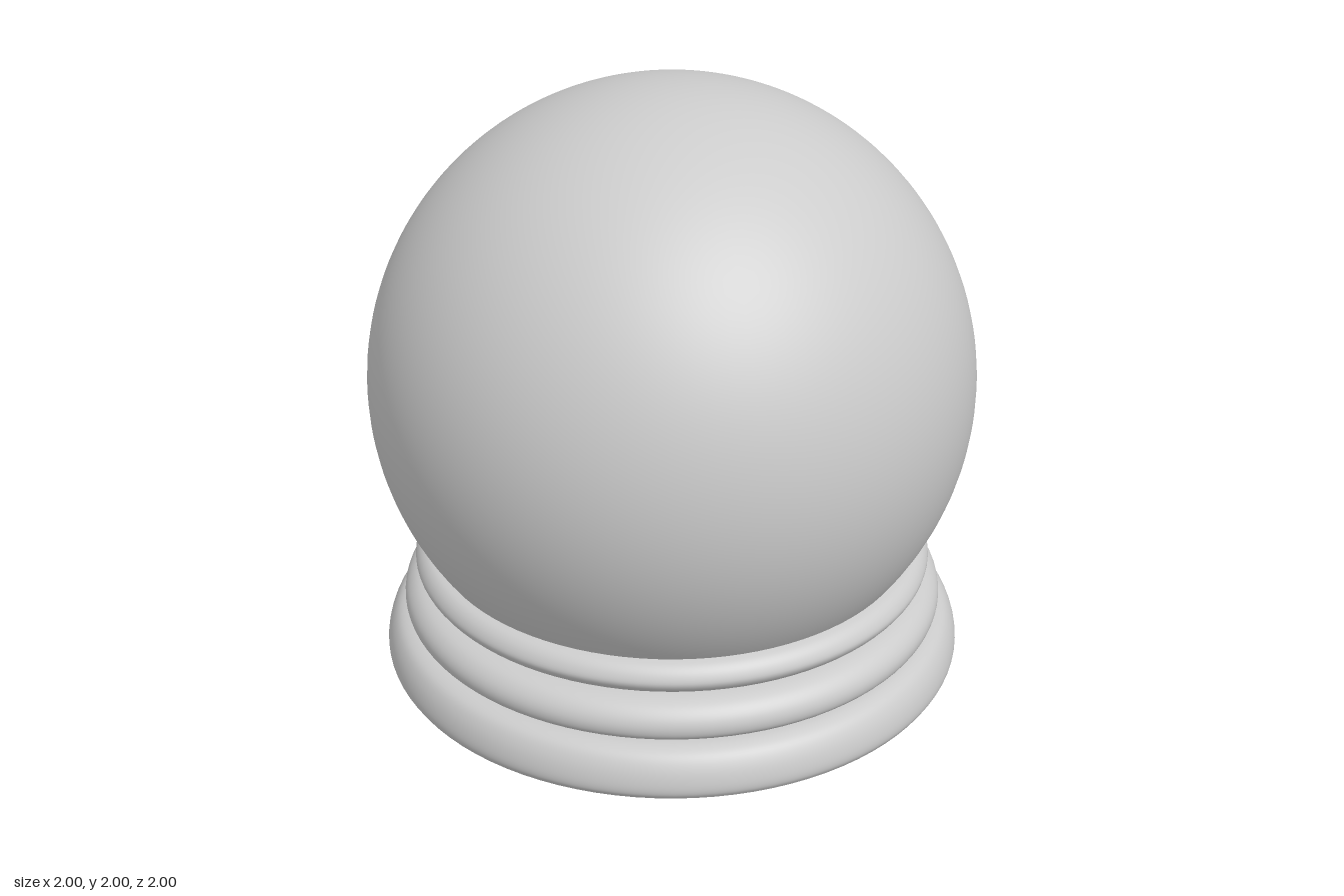
import * as THREE from 'three';

const SEGMENTS = 96;

// Smooth turned band through a few [radius, height] points, bottom to top
function turnedBand(name, points, material) {
  const curve = new THREE.CatmullRomCurve3(points.map(([r, y]) => new THREE.Vector3(r, y, 0)), false, 'centripetal');
  const profile = curve.getPoints(28).map(p => new THREE.Vector2(p.x, p.y));
  const mesh = new THREE.Mesh(new THREE.LatheGeometry(profile, SEGMENTS), material);
  mesh.name = name;
  return mesh;
}

export function createModel() {
  const group = new THREE.Group();
  group.name = 'globeOnStand';
  const material = new THREE.MeshStandardMaterial({ color: 0xcccccc, side: THREE.DoubleSide });

  // Globe, cut off where it sits in the stand
  const cutAngle = Math.acos(-0.59);
  const globe = new THREE.Mesh(new THREE.SphereGeometry(1, SEGMENTS, 56, 0, Math.PI * 2, 0, cutAngle), material);
  globe.name = 'globe';
  globe.position.y = 1;
  group.add(globe);

  // Stand: three stacked rounded bands, narrowing upward
  const stand = new THREE.Group();
  stand.name = 'stand';
  stand.add(
    turnedBand('bottomBand', [[0.968, 0], [0.979, 0.02], [0.98, 0.05], [0.966, 0.1], [0.94, 0.138], [0.905, 0.155], [0.86, 0.158]], material),
    turnedBand('middleBand', [[0.86, 0.158], [0.888, 0.168], [0.91, 0.19], [0.915, 0.22], [0.905, 0.25], [0.88, 0.277], [0.845, 0.292], [0.79, 0.298]], material),
    turnedBand('topBand', [[0.79, 0.298], [0.82, 0.306], [0.853, 0.325], [0.873, 0.358], [0.863, 0.388], [0.84, 0.41], [0.807, 0.42]], material)
  );

  // Flat underside
  const underside = new THREE.Mesh(new THREE.CircleGeometry(0.968, SEGMENTS), material);
  underside.name = 'underside';
  underside.rotation.x = Math.PI / 2;
  stand.add(underside);

  group.add(stand);
  return group;
}
